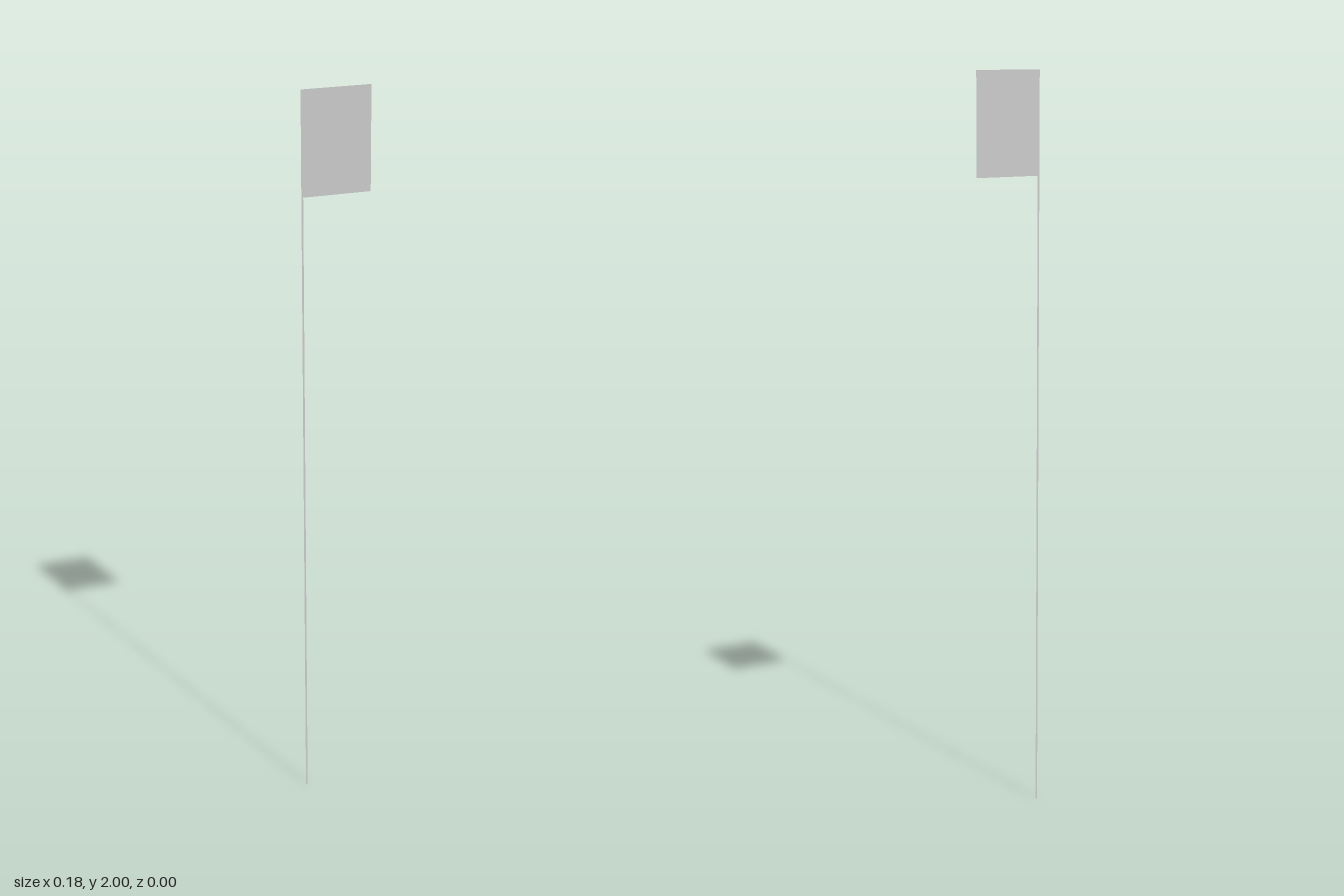
import * as THREE from 'three';

export function createModel() {
  const model = new THREE.Group();
  const material = new THREE.MeshStandardMaterial({ color: 0xcccccc, side: THREE.DoubleSide });

  const halfWidth = 0.092, height = 2, poleWidth = 0.005, flagHeight = 0.27;

  // Flat upright sheet spanning x0..x1 and y0..y1
  const addSheet = (name, x0, x1, y0, y1) => {
    const mesh = new THREE.Mesh(new THREE.PlaneGeometry(x1 - x0, y1 - y0), material);
    mesh.name = name;
    mesh.position.set((x0 + x1) / 2, (y0 + y1) / 2, 0);
    model.add(mesh);
  };

  // Thin strip pole on the right edge, full height
  addSheet('pole', -halfWidth, -halfWidth + poleWidth, 0, height);
  // Rectangular flag attached at the top of the pole
  addSheet('flag', -halfWidth + poleWidth, halfWidth, height - flagHeight, height);

  return model;
}
